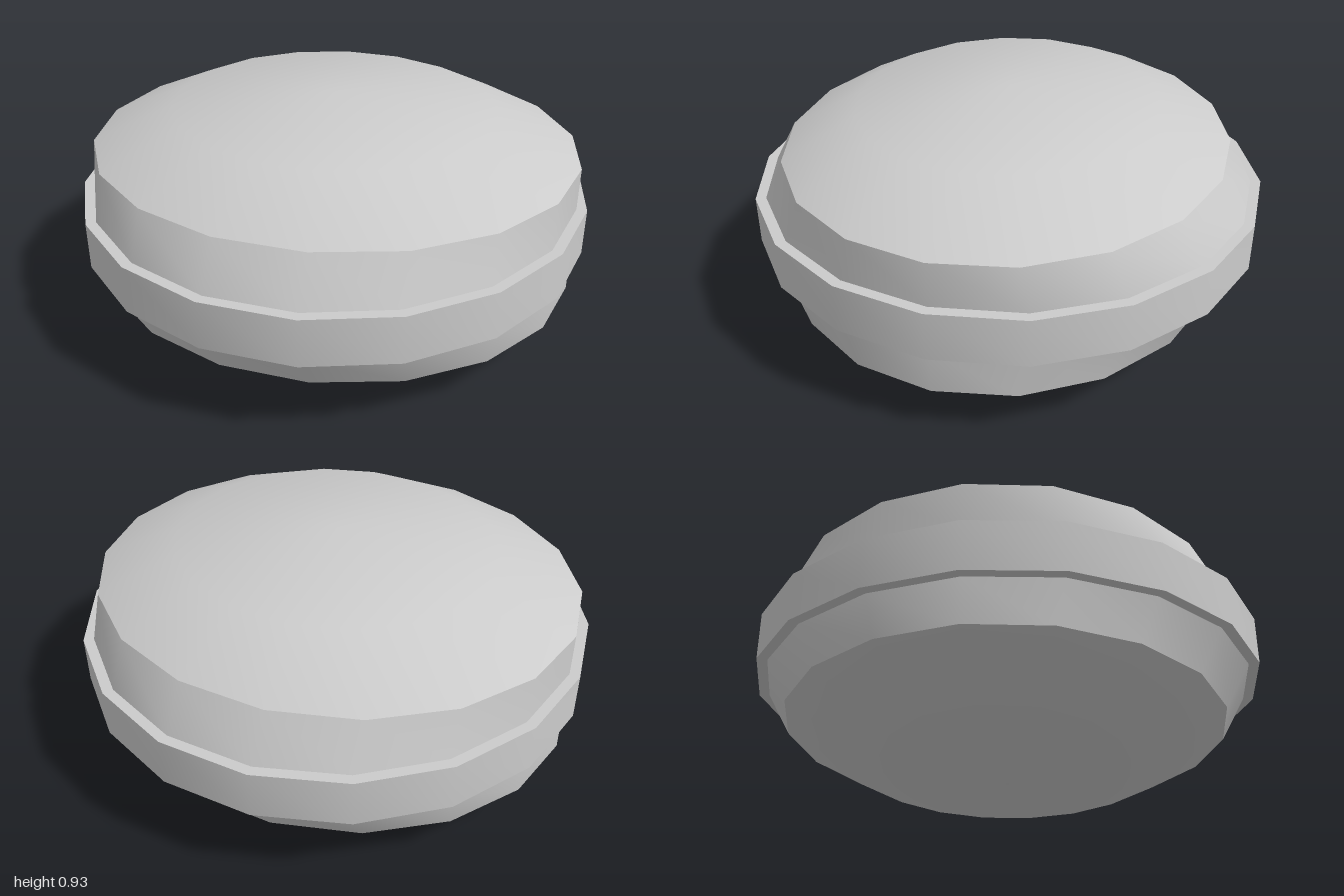
import * as THREE from 'three';
import { toCreasedNormals } from 'three/addons/utils/BufferGeometryUtils.js';

const SIDES = 18;
const MID = 0.463;

// Skin elliptical rings [x radius, z radius, height], listed from bottom to top.
function loft(rings) {
  const positions = [];
  const index = [];
  for (const [rx, rz, y] of rings) {
    for (let j = 0; j < SIDES; j++) {
      const t = (j / SIDES) * Math.PI * 2;
      positions.push(rx * Math.cos(t), y, rz * Math.sin(t));
    }
  }
  for (let i = 0; i < rings.length - 1; i++) {
    for (let j = 0; j < SIDES; j++) {
      const k = (j + 1) % SIDES;
      const a = i * SIDES + j, b = i * SIDES + k;
      const c = a + SIDES, d = b + SIDES;
      if (rings[i + 1][0] > 0) index.push(a, c, d);
      if (rings[i][0] > 0) index.push(a, d, b);
    }
  }
  const geometry = new THREE.BufferGeometry();
  geometry.setAttribute('position', new THREE.Float32BufferAttribute(positions, 3));
  geometry.setIndex(index);
  return toCreasedNormals(geometry, THREE.MathUtils.degToRad(30));
}

export function createModel() {
  const model = new THREE.Group();
  model.name = 'roundCase';
  const material = new THREE.MeshStandardMaterial({ color: 0xcccccc });

  const add = (name, rings) => {
    const mesh = new THREE.Mesh(loft(rings), material);
    mesh.name = name;
    model.add(mesh);
  };

  // Domed half profile from waist to apex; flattened in z at the shoulder
  const half = [
    [0.96, 0.96, 0.093],
    [0.96, 0.863, 0.263],
    [0.637, 0.587, 0.411],
    [0, 0, 0.463],
  ];
  const upper = half.map(([rx, rz, h]) => [rx, rz, MID + h]);
  const lower = half.map(([rx, rz, h]) => [rx, rz, MID - h]).reverse();
  add('upperShell', upper);
  add('lowerShell', lower);

  // Raised band around the waist, with ledges running in to the shells
  const low = MID - 0.093, high = MID + 0.093;
  add('waistBand', [
    [0.96, 0.96, low],
    [1, 1, low],
    [1, 1, high],
    [0.96, 0.96, high],
  ]);

  return model;
}
